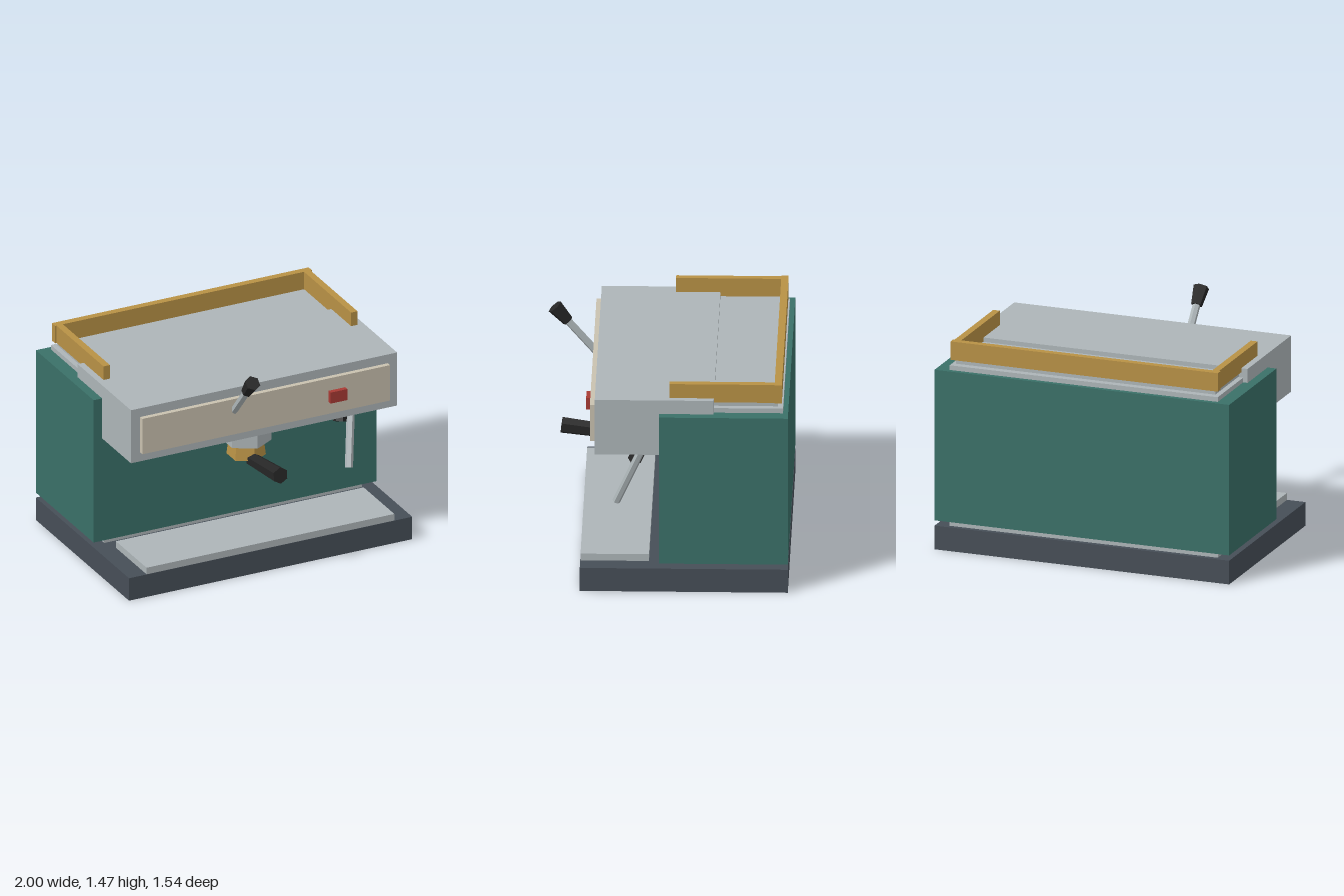
import * as THREE from 'three';

const mat = (name, color) => {
  const m = new THREE.MeshStandardMaterial({ color });
  m.name = name;
  m.flatShading = true;
  return m;
};

export function createModel() {
  const group = new THREE.Group();
  group.name = 'espressoMachine';
  const teal = mat('teal', 0x3a7068);
  const silver = mat('silver', 0xadb5b8);
  const brass = mat('brass', 0xb89145);
  const cream = mat('cream', 0xc9c1af);
  const slate = mat('slate', 0x464e57);
  const red = mat('red', 0xa83a34);
  const black = mat('black', 0x262626);

  const add = (name, geometry, material) => {
    const mesh = new THREE.Mesh(geometry, material);
    mesh.name = name;
    group.add(mesh);
    return mesh;
  };
  // Box given by its lower and upper limits on each axis
  const box = (name, material, [x0, x1], [y0, y1], [z0, z1]) =>
    add(name, new THREE.BoxGeometry(x1 - x0, y1 - y0, z1 - z0), material)
      .position.set((x0 + x1) / 2, (y0 + y1) / 2, (z0 + z1) / 2);
  // Six-sided bar from point a to point b
  const bar = (name, material, a, b, ra, rb = ra) => {
    const p = new THREE.Vector3(...a);
    const q = new THREE.Vector3(...b);
    const mesh = add(name, new THREE.CylinderGeometry(rb, ra, p.distanceTo(q), 6), material);
    mesh.position.copy(p).add(q).multiplyScalar(0.5);
    mesh.quaternion.setFromUnitVectors(new THREE.Vector3(0, 1, 0), q.sub(p).normalize());
  };

  // Base, drip tray and body
  box('base', slate, [-1, 1], [0, 0.157], [-0.77, 0.545]);
  box('dripTray', silver, [-0.875, 0.875], [0.157, 0.203], [0.11, 0.543]);
  box('plinth', silver, [-0.91, 0.91], [0.157, 0.192], [-0.738, 0.015]);
  box('body', teal, [-1, 1], [0.192, 1.19], [-0.77, 0.045]);

  // Head with control panel
  box('head', silver, [-0.94, 0.94], [0.91, 1.282], [-0.3, 0.452]);
  box('controlPanel', cream, [-0.875, 0.875], [0.973, 1.221], [0.452, 0.484]);
  box('powerSwitch', red, [0.438, 0.557], [1.058, 1.135], [0.484, 0.515]);

  // Cup warmer and its rail
  box('topPlate', silver, [-0.91, 0.91], [1.19, 1.221], [-0.738, -0.3]);
  box('cupWarmer', silver, [-0.88, 0.88], [1.225, 1.253], [-0.705, -0.3]);
  box('backRail', brass, [-0.907, 0.907], [1.255, 1.377], [-0.73, -0.684]);
  for (const [side, s] of [['left', 1], ['right', -1]]) {
    const x = [0.852 * s, 0.897 * s].sort((a, b) => a - b);
    box(side + 'Rail', brass, x, [1.255, 1.377], [-0.684, -0.02]);
  }

  // Brew group, filter basket and its handle
  bar('brewGroup', silver, [0, 0.77, 0.2], [0, 0.91, 0.2], 0.16);
  bar('filterBasket', brass, [0, 0.667, 0.2], [0, 0.77, 0.2], 0.125, 0.112);
  bar('filterHandle', black, [0, 0.665, 0.278], [0, 0.72, 0.683], 0.045, 0.054);

  // Steam wand with grip
  bar('steamWand', silver, [0.665, 0.478, 0.322], [0.772, 0.911, 0.142], 0.026);
  bar('steamGrip', black, [0.657, 0.755, 0.208], [0.689, 0.882, 0.154], 0.044);

  // Brew lever
  bar('leverRod', silver, [-0.22, 1.1, 0.44], [-0.22, 1.345, 0.652], 0.025);
  bar('leverKnob', black, [-0.22, 1.34, 0.648], [-0.22, 1.437, 0.732], 0.036, 0.051);

  return group;
}
